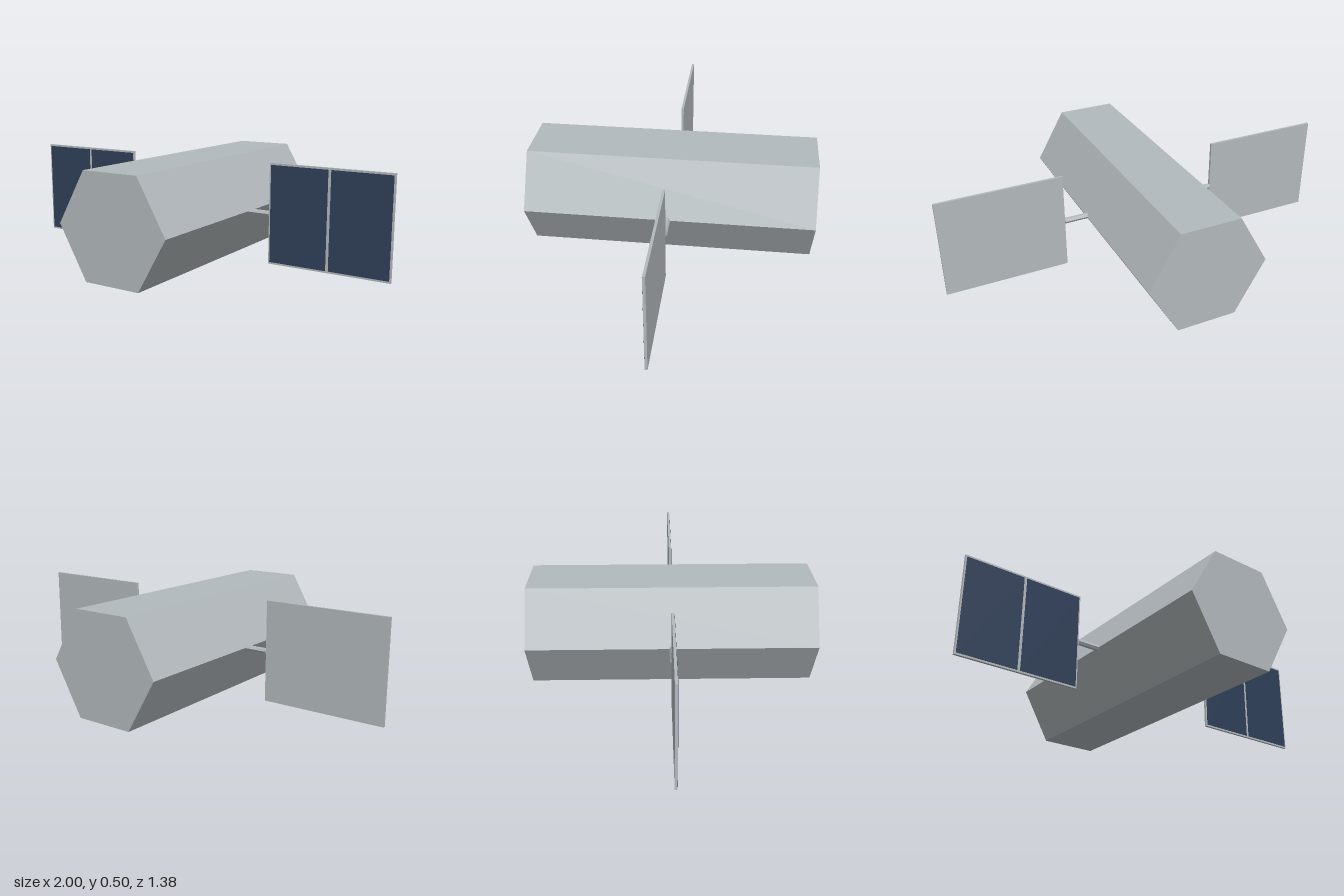
import * as THREE from 'three';

const hull = new THREE.MeshStandardMaterial({ name: 'hull grey', color: 0xb3babd });
const cellBlue = new THREE.MeshStandardMaterial({ name: 'solar cell blue', color: 0x30405a });
hull.flatShading = true;

const MID_Y = 0.25;

function box(name, w, h, d, x, y, z, material) {
  const mesh = new THREE.Mesh(new THREE.BoxGeometry(w, h, d), material);
  mesh.name = name;
  mesh.position.set(x, y, z);
  return mesh;
}

// One wing: hexagonal strut, panel frame and two solar cells on the front
function createWing(side, label) {
  const wing = new THREE.Group();
  wing.name = label + 'Wing';

  const strutGeometry = new THREE.CylinderGeometry(0.014, 0.014, 0.13, 6);
  strutGeometry.rotateZ(Math.PI / 2);
  const strut = new THREE.Mesh(strutGeometry, hull);
  strut.name = 'strut';
  strut.position.set(side * 0.335, MID_Y, 0);
  wing.add(strut);

  wing.add(box('panelFrame', 0.6, 0.486, 0.012, side * 0.7, MID_Y, 0, hull));
  for (const offset of [-0.15, 0.15]) {
    wing.add(box('solarCell', 0.286, 0.468, 0.002, side * 0.7 + offset, MID_Y, 0.0065, cellBlue));
  }
  return wing;
}

export function createModel() {
  const model = new THREE.Group();
  model.name = 'satellite';

  // Hexagonal body lying along z, with flat faces on top and bottom
  const bodyGeometry = new THREE.CylinderGeometry(0.2887, 0.2887, 1.38, 6);
  bodyGeometry.rotateY(Math.PI / 6);
  bodyGeometry.rotateX(Math.PI / 2);
  const body = new THREE.Mesh(bodyGeometry, hull);
  body.name = 'body';
  body.position.y = MID_Y;
  model.add(body);

  model.add(createWing(1, 'left'), createWing(-1, 'right'));
  return model;
}
